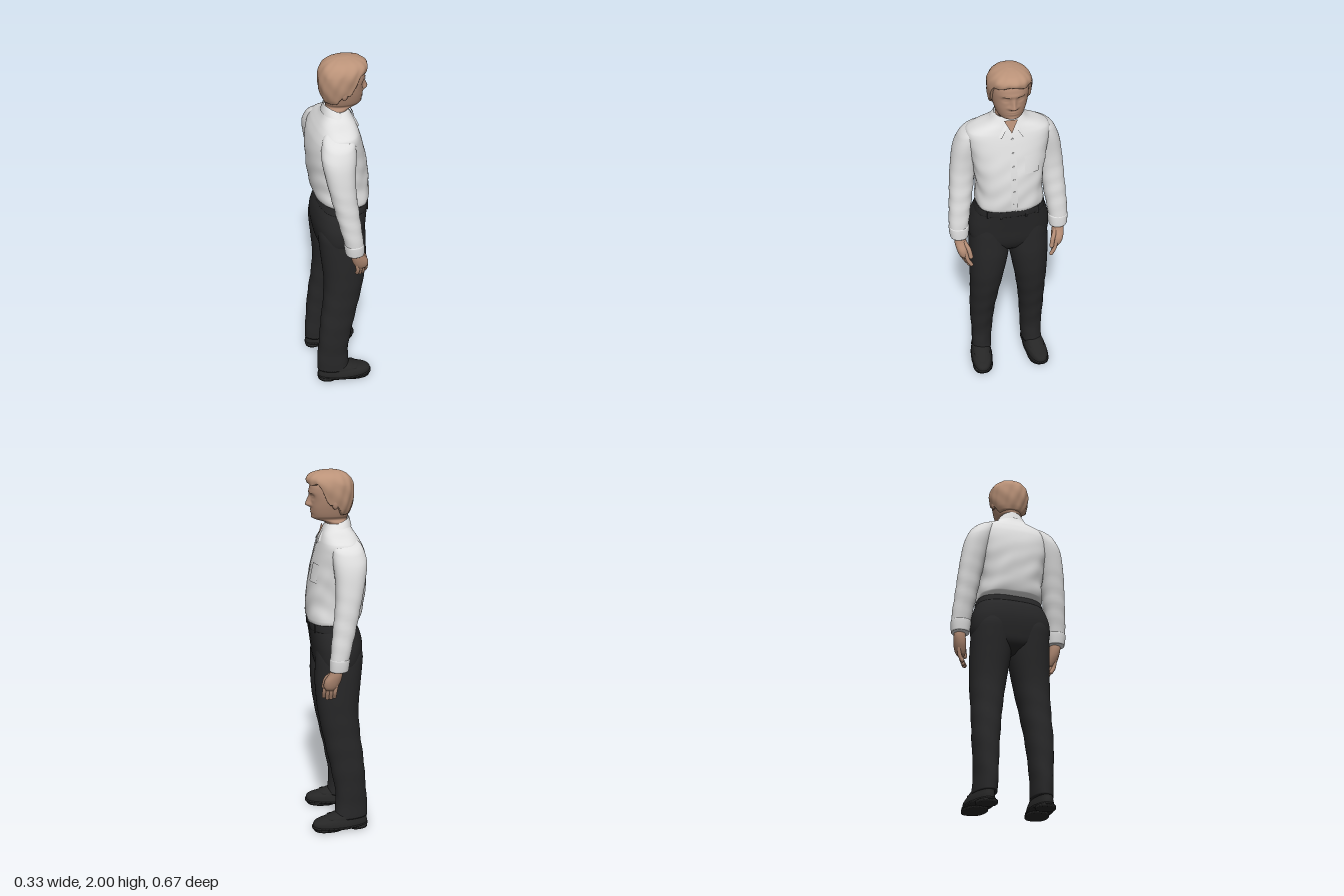
import * as THREE from 'three';
import { ParametricGeometry } from 'three/addons/geometries/ParametricGeometry.js';

const paint = (name, color, side = THREE.FrontSide) => {
  const m = new THREE.MeshStandardMaterial({ color, side });
  m.name = name;
  return m;
};
const { smoothstep, lerp } = THREE.MathUtils;
const bell = (v, c, s) => Math.exp(-(((v - c) / s) ** 2));

// A ring is [y, back x, front x, min z, max z]. Smoothly interpolate rings at height y.
function sample(rings, y) {
  let k = 0;
  while (k < rings.length - 2 && y > rings[k + 1][0]) k++;
  const at = i => rings[Math.min(Math.max(i, 0), rings.length - 1)];
  const a = at(k), b = at(k + 1), p = at(k - 1), n = at(k + 2);
  const h = b[0] - a[0], t = Math.min(Math.max((y - a[0]) / h, 0), 1);
  return [1, 2, 3, 4].map(c => {
    const ma = (b[c] - p[c]) / (b[0] - p[0]) * h, mb = (n[c] - a[c]) / (n[0] - a[0]) * h;
    return (2 * t ** 3 - 3 * t * t + 1) * a[c] + (t ** 3 - 2 * t * t + t) * ma
      + (3 * t * t - 2 * t ** 3) * b[c] + (t ** 3 - t * t) * mb;
  });
}

// Closed body skinned over rings; pow sets squareness, fold scales the radius,
// base lifts the lower edge, warp moves points
function body(rings, { segs = 40, steps = 5, pow = 2.2, fold, base, warp } = {}) {
  const ys = [], pos = [], idx = [], low = rings[0][0], top = rings[rings.length - 1][0];
  for (let k = 0; k < rings.length - 1; k++)
    for (let s = 0; s < steps; s++) ys.push(lerp(rings[k][0], rings[k + 1][0], s / steps));
  ys.push(top);
  const p = new THREE.Vector3();
  const push = () => { if (warp) warp(p); pos.push(p.x, p.y, p.z); };
  ys.forEach((y0, j) => {
    for (let i = 0; i < segs; i++) {
      const a = i / segs * Math.PI * 2, c = Math.cos(a), s = Math.sin(a);
      const b = base ? base(c, a) : low, y = b + (y0 - low) * (top - b) / (top - low);
      const [x0, x1, z0, z1] = sample(rings, y);
      const f = (fold ? fold(a, y) : 1) * (base && j === 0 ? 0.85 : 1);
      p.set((x0 + x1) / 2 + f * (x1 - x0) / 2 * Math.sign(c) * Math.abs(c) ** (2 / pow), y,
        (z0 + z1) / 2 + f * (z1 - z0) / 2 * Math.sign(s) * Math.abs(s) ** (2 / pow));
      push();
    }
  });
  const id = (i, j) => j * segs + i % segs;
  for (let j = 0; j < ys.length - 1; j++)
    for (let i = 0; i < segs; i++)
      idx.push(id(i, j), id(i, j + 1), id(i + 1, j), id(i + 1, j), id(i, j + 1), id(i + 1, j + 1));
  [0, ys.length - 1].forEach((j, end) => {
    const [x0, x1, z0, z1] = sample(rings, ys[j]), mid = pos.length / 3;
    p.set((x0 + x1) / 2, ys[j], (z0 + z1) / 2);
    push();
    for (let i = 0; i < segs; i++)
      idx.push(mid, ...(end ? [id(i + 1, j), id(i, j)] : [id(i, j), id(i + 1, j)]));
  });
  const g = new THREE.BufferGeometry();
  g.setAttribute('position', new THREE.Float32BufferAttribute(pos, 3));
  g.setIndex(idx);
  g.computeVertexNormals();
  return g;
}

// Front surface of a ring body, and a thin patch lying on it
const CLOTH_POW = 2.6, HEAD_POW = 2.2;
function frontX(rings, y, z, pow = CLOTH_POW) {
  const [x0, x1, z0, z1] = sample(rings, y), t = Math.abs((z - (z0 + z1) / 2) / ((z1 - z0) / 2));
  return (x0 + x1) / 2 + (x1 - x0) / 2 * Math.max(0, 1 - t ** pow) ** (1 / pow);
}
const patch = (rings, z0, z1, y0, y1, off, pow) => new ParametricGeometry((u, v, p) => {
  const y = lerp(y0, y1, v), z = lerp(z0, z1, u);
  p.set(frontX(rings, y, z, pow) + off, y, z);
}, 8, 24);

const sym = rows => rows.map(([y, x0, x1, z]) => [y, x0, x1, -z, z]);
const flip = (rows, s) => s > 0 ? rows : rows.map(([y, x0, x1, a, b]) => [y, x0, x1, -b, -a]);

const TORSO = sym([[1.185, -0.1, 0.148, 0.178], [1.215, -0.135, 0.156, 0.184], [1.3, -0.155, 0.155, 0.178],
  [1.4, -0.165, 0.145, 0.19], [1.5, -0.167, 0.125, 0.206], [1.58, -0.153, 0.104, 0.22],
  [1.63, -0.13, 0.088, 0.216], [1.658, -0.112, 0.077, 0.176], [1.685, -0.094, 0.066, 0.11], [1.72, -0.075, 0.05, 0.07]]);
const SLEEVE = [[0.985, -0.03, 0.062, 0.232, 0.325], [1.05, -0.042, 0.06, 0.225, 0.332], [1.2, -0.078, 0.044, 0.2, 0.322],
  [1.35, -0.11, 0.028, 0.176, 0.31], [1.45, -0.13, 0.028, 0.155, 0.298], [1.55, -0.142, 0.037, 0.125, 0.282],
  [1.605, -0.128, 0.038, 0.105, 0.262], [1.628, -0.108, 0.03, 0.11, 0.242], [1.641, -0.07, 0.005, 0.13, 0.205]];
const CUFF = [[0.978, -0.033, 0.064, 0.23, 0.327], [0.985, -0.036, 0.066, 0.228, 0.33],
  [1.04, -0.043, 0.063, 0.223, 0.334], [1.048, -0.039, 0.058, 0.226, 0.33]];
const HIPS = sym([[0.86, -0.06, 0.05, 0.07], [0.9, -0.115, 0.09, 0.17], [0.96, -0.135, 0.118, 0.216], [1.05, -0.146, 0.131, 0.223],
  [1.12, -0.135, 0.14, 0.207], [1.17, -0.112, 0.147, 0.188], [1.195, -0.105, 0.15, 0.184]]);
const LEG = [[0.065, -0.165, 0.022, 0.1, 0.224], [0.12, -0.167, 0.016, 0.098, 0.223], [0.2, -0.16, 0.012, 0.092, 0.221],
  [0.39, -0.145, 0.045, 0.075, 0.219], [0.55, -0.125, 0.08, 0.054, 0.219], [0.7, -0.115, 0.11, 0.028, 0.222],
  [0.85, -0.127, 0.124, 0.002, 0.223], [0.95, -0.136, 0.122, -0.002, 0.22], [1.02, -0.138, 0.12, 0.005, 0.212],
  [1.1, -0.115, 0.115, 0.03, 0.18]];
const HEAD = sym([[1.64, -0.07, 0.055, 0.07], [1.69, -0.066, 0.05, 0.066], [1.725, -0.066, 0.055, 0.066],
  [1.742, -0.066, 0.108, 0.06], [1.76, -0.072, 0.12, 0.071], [1.8, -0.08, 0.127, 0.084], [1.84, -0.085, 0.128, 0.093],
  [1.88, -0.09, 0.134, 0.096], [1.92, -0.09, 0.13, 0.094], [1.96, -0.06, 0.1, 0.075], [1.98, -0.02, 0.05, 0.03]]);
const HAIR = sym([[1.76, -0.073, 0.1, 0.08], [1.8, -0.09, 0.11, 0.097], [1.86, -0.103, 0.13, 0.11],
  [1.92, -0.1, 0.142, 0.113], [1.955, -0.087, 0.15, 0.102], [1.98, -0.062, 0.128, 0.078],
  [1.993, -0.032, 0.09, 0.047], [2, 0, 0.05, 0.012]]);
const PALM = [[0.865, 0.03, 0.085, 0.24, 0.28], [0.885, 0.018, 0.093, 0.236, 0.293], [0.92, 0.003, 0.09, 0.238, 0.304],
  [0.96, -0.004, 0.066, 0.245, 0.31], [1, -0.002, 0.052, 0.25, 0.308]];
const UPPER = [[0.02, -0.166, 0.147, 0.107, 0.232], [0.04, -0.165, 0.146, 0.109, 0.231], [0.055, -0.162, 0.132, 0.112, 0.227],
  [0.065, -0.16, 0.1, 0.115, 0.223], [0.08, -0.154, 0.06, 0.118, 0.219], [0.1, -0.14, 0.015, 0.13, 0.205]];

// Nose, eye sockets, eyelids, brow, lips and chin pressed into the front of the head
function face(p) {
  if (p.x < 0.045) return;
  const { y, z } = p, az = Math.abs(z);
  const nose = y < 1.82 ? smoothstep(y, 1.799, 1.819) : 1 - smoothstep(y, 1.82, 1.885);
  p.x += 0.029 * nose * bell(z, 0, 0.011 + 0.009 * bell(y, 1.815, 0.015))
    - 0.011 * bell(az, 0.037, 0.018) * bell(y, 1.863, 0.013)
    + 0.005 * bell(az, 0.037, 0.012) * bell(y, 1.861, 0.006)
    + 0.005 * bell(y, 1.885, 0.011) * bell(z, 0, 0.06)
    + (0.007 * bell(y, 1.783, 0.011) - 0.006 * bell(y, 1.784, 0.003)) * bell(z, 0, 0.024)
    + 0.007 * bell(y, 1.753, 0.011) * bell(z, 0, 0.026);
}

export function createModel() {
  const man = new THREE.Group();
  man.name = 'standingMan';
  const shirt = paint('white shirt', 0xdfdfdf, THREE.DoubleSide);
  const cloth = paint('black trousers', 0x272728, THREE.DoubleSide);
  const leather = paint('black leather', 0x262626);
  const skin = paint('skin', 0xb28b74, THREE.DoubleSide);
  const hair = paint('hair', 0xbb9379, THREE.DoubleSide);
  const add = (name, geo, mat, x = 0, y = 0, z = 0) => {
    const m = new THREE.Mesh(geo, mat);
    m.name = name;
    m.position.set(x, y, z);
    man.add(m);
    return m;
  };

  // Head
  add('headAndNeck', body(HEAD, { segs: 96, steps: 9, pow: HEAD_POW, warp: face }), skin);
  add('hair', body(HAIR, {
    segs: 96, steps: 6,
    base: (c, a) => 1.765 + 0.055 * smoothstep(c, -0.5, 0)
      + (0.11 + 0.008 * Math.sin(a * 5 + 1)) * smoothstep(c, 0.2, 0.62),
    fold: (a, y) => 1 + 0.012 * Math.sin(a * 13 + y * 40) + 0.01 * Math.sin(a * 7 - y * 60)
  }), hair);
  add('throat', new THREE.BufferGeometry().setFromPoints([[0.066, 1.71, 0.036], [0.09, 1.645, 0], [0.066, 1.71, -0.036]]
    .map(v => new THREE.Vector3(...v))), skin).geometry.computeVertexNormals();

  // Shirt
  add('shirtBody', body(TORSO, {
    segs: 72, steps: 8, pow: CLOTH_POW,
    fold: (a, y) => 1 + (0.009 * Math.sin(y * 55 + 4 * Math.sin(a * 2)) + 0.006 * Math.sin(a * 9 + y * 25))
      * (1 - smoothstep(y, 1.4, 1.6))
  }), shirt);
  add('collar', new ParametricGeometry((u, v, p) => {
    const open = 0.22 + 0.36 * v, a = lerp(open, Math.PI * 2 - open, u), c = Math.cos(a);
    const tip = smoothstep(c, 0.2, 0.85);
    p.set(-0.006 + lerp(0.072, c > 0 ? 0.125 : 0.084, v) * c, lerp(1.72 - 0.032 * c, 1.685 - 0.02 * c - 0.045 * tip, v),
      lerp(0.073, 0.102, v) * Math.sin(a));
  }, 64, 6), shirt);
  add('placket', patch(TORSO, -0.017, 0.017, 1.2, 1.645, 0.004), shirt);
  add('chestPocket', patch(TORSO, -0.14, -0.06, 1.42, 1.52, 0.004), shirt);
  for (let i = 0; i < 6; i++) {
    const y = 1.25 + i * 0.073;
    add('button', new THREE.CylinderGeometry(0.006, 0.006, 0.004, 12), shirt, frontX(TORSO, y, 0) + 0.004, y, 0)
      .rotation.z = Math.PI / 2;
  }

  // Trousers top
  add('hips', body(HIPS, { segs: 64, pow: CLOTH_POW }), cloth);
  add('fly', patch(HIPS, -0.012, 0.012, 0.99, 1.16, 0.003), cloth);
  add('waistband', body(sym([[1.155, -0.118, 0.146, 0.192], [1.16, -0.119, 0.149, 0.193], [1.19, -0.109, 0.152, 0.187],
    [1.195, -0.105, 0.15, 0.184]]), { segs: 64, pow: CLOTH_POW }), cloth);

  for (const s of [1, -1]) {
    const side = s > 0 ? 'right' : 'left';
    // Face details
    add(side + 'Ear', new THREE.SphereGeometry(1, 16, 12), skin, 0.008, 1.832, s * 0.096).scale.set(0.018, 0.03, 0.011);
    add(side + 'Eyebrow', patch(HEAD, s * 0.016, s * 0.056, 1.881, 1.888, 0.006, HEAD_POW), hair);

    // Sleeves, with shoulders sloping down from the neck
    add(side + 'Sleeve', body(flip(SLEEVE, s), {
      segs: 44, steps: 7,
      fold: (a, y) => 1 + 0.025 * Math.sin(y * 70 + 2 * Math.sin(a + s)) * bell(y, 1.2, 0.16),
      warp: p => { p.y -= 0.4 * (Math.abs(p.z) - 0.19) * smoothstep(p.y, 1.45, 1.63); }
    }), shirt);
    add(side + 'Cuff', body(flip(CUFF, s)), shirt);

    // Hands
    add(side + 'Palm', body(flip(PALM, s), { segs: 28 }), skin);
    const finger = (name, pts, r) => {
      const curve = new THREE.CatmullRomCurve3(pts.map(([x, y, z]) => new THREE.Vector3(x, y, s * z)));
      add(name, new THREE.TubeGeometry(curve, 10, r, 10), skin);
      add(name + 'Tip', new THREE.SphereGeometry(r, 10, 8), skin, ...curve.getPoint(1).toArray());
    };
    for (let i = 0; i < 4; i++) {
      const x = 0.028 + i * 0.018, drop = [0.014, 0.004, 0, 0.008][i];
      finger(side + 'Finger', [[x, 0.9, 0.28 - i * 0.008], [x + 0.007, 0.855, 0.274 - i * 0.009],
        [x + 0.008, 0.812 + drop, 0.258 - i * 0.01]], 0.011);
    }
    finger(side + 'Thumb', [[0.05, 0.955, 0.258], [0.08, 0.92, 0.238], [0.09, 0.875, 0.229]], 0.0125);

    // Feet toe out and narrow towards the heel; the trouser hems follow them
    const toeOut = (p, amount) => {
      const z = s * (0.166 + 0.08 * p.x) + (p.z - s * 0.169) * (1 - 0.16 * smoothstep(-p.x, 0, 0.16));
      p.z = lerp(p.z, z, amount);
    };
    const foot = p => toeOut(p, 1);

    // Trouser legs with a pressed crease
    add(side + 'TrouserLeg', body(flip(LEG, s), {
      segs: 48, steps: 7,
      fold: (a, y) => 1 + (0.03 * bell(Math.cos(a), 1, 0.02) + 0.016 * Math.sin(y * 45 + 2 * Math.sin(a)))
        * (1 - smoothstep(y, 0.45, 0.85)),
      warp: p => toeOut(p, 1 - smoothstep(p.y, 0.1, 0.4))
    }), cloth);
    for (const z of [0.07, 0.135])
      add(side + 'BeltLoop', new THREE.BoxGeometry(0.006, 0.045, 0.012), cloth, frontX(HIPS, 1.172, z) + 0.003, 1.172, s * z);

    // Shoes
    add(side + 'ShoeUpper', body(flip(UPPER, s), { pow: 2.3, warp: foot }), leather);
    const slab = (name, y0, y1, x0, x1, z0, z1) =>
      add(name, body(flip([[y0, x0, x1, z0, z1], [y1, x0, x1, z0, z1]], s), { steps: 1, pow: 2.4, warp: foot }), leather);
    slab(side + 'Sole', 0.012, 0.024, -0.168, 0.152, 0.104, 0.235);
    slab(side + 'Heel', 0, 0.016, -0.166, -0.06, 0.109, 0.229);
    slab(side + 'Forefoot', 0, 0.016, -0.03, 0.142, 0.108, 0.23);
    slab(side + 'Saddle', 0.055, 0.075, 0, 0.07, 0.122, 0.216);
  }
  return man;
}
